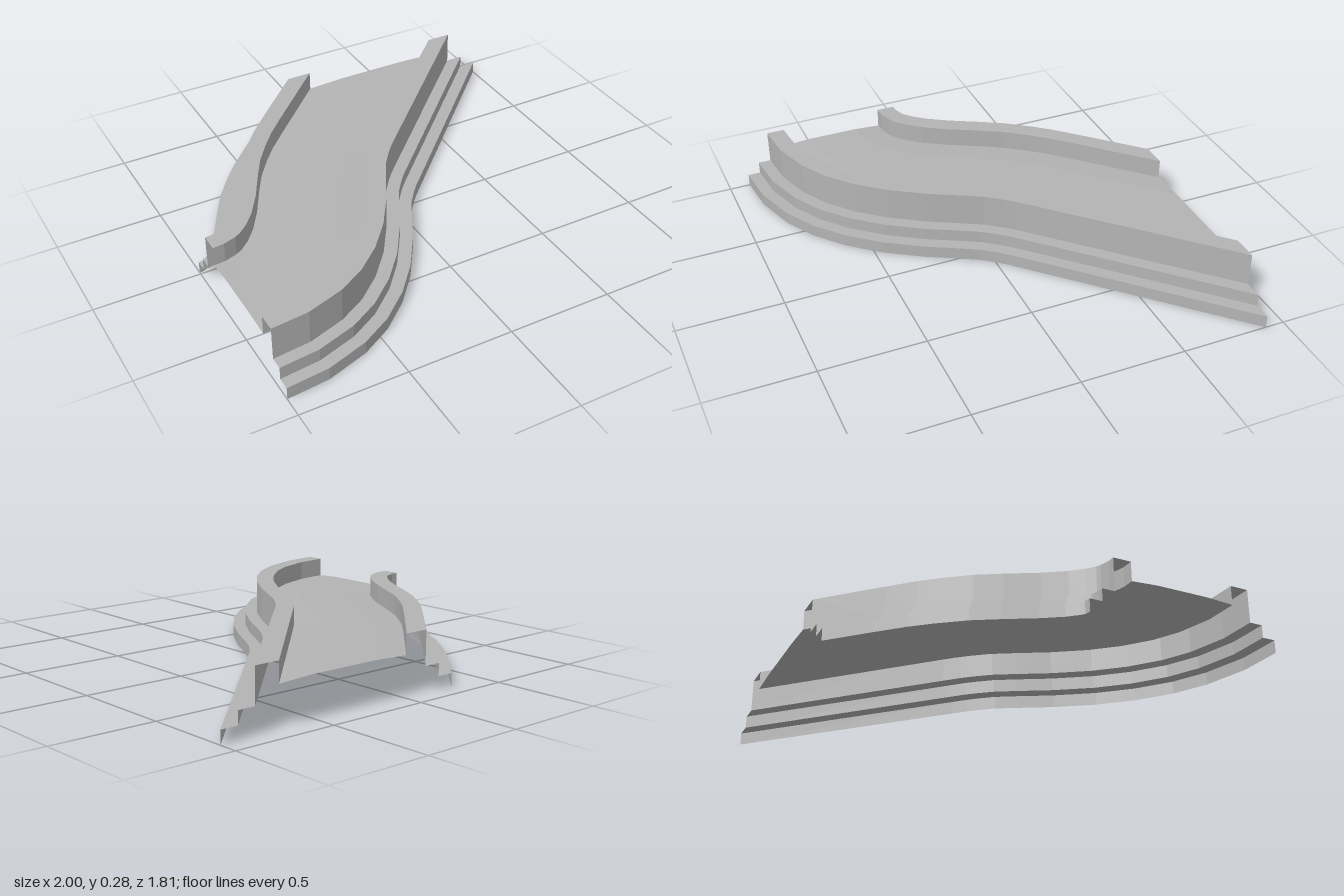
import * as THREE from 'three';

// Sections along the S-bend: front edge x, z and heading in degrees
const WIDTH = 0.91;
const BEND = [
  [-1, 0.9, 0], [-0.8, 0.88, 12], [-0.6, 0.815, 24], [-0.45, 0.73, 35],
  [-0.31, 0.61, 45], [-0.19, 0.47, 53], [-0.08, 0.3, 59], [0, 0.15, 60],
  [0.05, 0.06, 58], [0.1, -0.005, 54], [0.135, -0.045, 50], [0.19, -0.1, 45],
];

// Each section as a front edge point and a back edge point
function makeSections() {
  const sections = BEND.map(([x, z, deg]) => {
    const a = THREE.MathUtils.degToRad(deg);
    return {
      front: new THREE.Vector2(x, z),
      back: new THREE.Vector2(Math.max(-1, x - WIDTH * Math.sin(a)), z - WIDTH * Math.cos(a)),
    };
  });
  // straight run, cut off square to z at the far end
  sections.push({ front: new THREE.Vector2(1, -0.91), back: new THREE.Vector2(-0.29, -0.91) });
  return sections;
}

// Sweep an open profile of [offset from centre, height] along the sections
function sweep(profile, sections) {
  const positions = [];
  const index = [];
  const n = profile.length;
  for (const { front, back } of sections) {
    for (const [offset, y] of profile) {
      const p = back.clone().lerp(front, 0.5 + offset / WIDTH);
      positions.push(p.x, y, p.y);
    }
  }
  for (let i = 0; i < sections.length - 1; i++) {
    for (let j = 0; j < n - 1; j++) {
      const a = i * n + j;
      const b = a + n;
      index.push(a, b, a + 1, a + 1, b, b + 1);
    }
  }
  const geometry = new THREE.BufferGeometry();
  geometry.setAttribute('position', new THREE.Float32BufferAttribute(positions, 3));
  geometry.setIndex(index);
  const flat = geometry.toNonIndexed();
  flat.computeVertexNormals();
  return flat;
}

export function createModel() {
  const group = new THREE.Group();
  group.name = 'curvedBridgeSection';
  const concrete = new THREE.MeshStandardMaterial({ color: 0xb4b4b4, flatShading: true, side: THREE.DoubleSide });
  concrete.name = 'concrete grey';
  const sections = makeSections();

  const add = (name, profile) => {
    const mesh = new THREE.Mesh(sweep(profile, sections), concrete);
    mesh.name = name;
    group.add(mesh);
  };

  // Stepped ledges and parapets, mirrored across the centre line
  const ledges = [[0.455, 0], [0.455, 0.06], [0.395, 0.06], [0.395, 0.12], [0.335, 0.12]];
  const parapet = [[0.335, 0.12], [0.335, 0.28], [0.25, 0.28], [0.25, 0.187]];
  const mirror = (profile) => profile.map(([o, y]) => [-o, y]).reverse();
  add('frontLedges', ledges);
  add('frontParapet', parapet);
  add('backParapet', mirror(parapet));
  add('backLedges', mirror(ledges));

  // Deck, slightly crowned
  add('deck', [[0.25, 0.187], [0.125, 0.195], [-0.125, 0.195], [-0.25, 0.187]]);

  return group;
}
